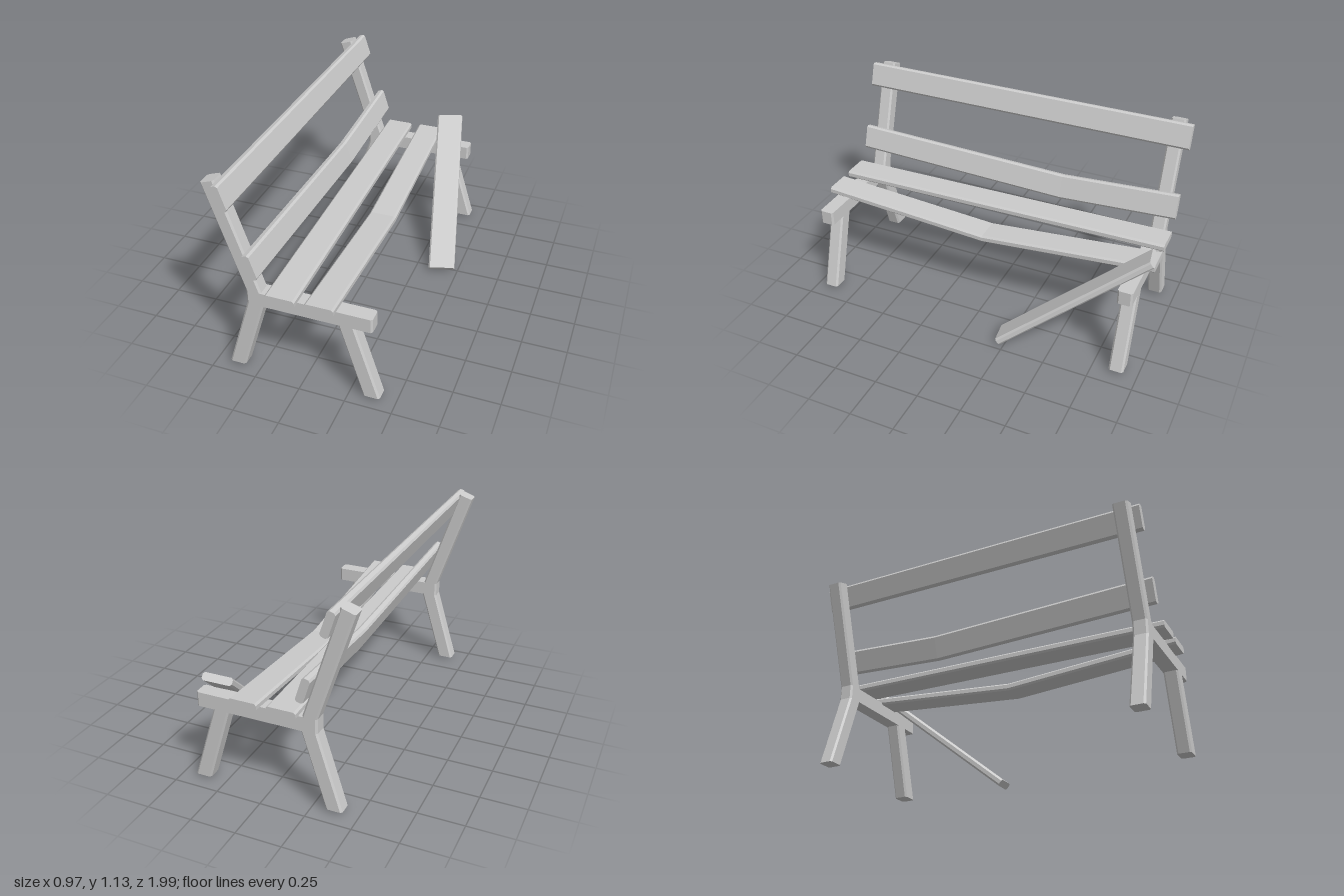
import * as THREE from 'three';

const V = (x, y, z) => new THREE.Vector3(x, y, z);
const material = new THREE.MeshStandardMaterial({ color: 0xcccccc, flatShading: true });

// Timber with a chamfered rectangular section, swept through rings.
// Each ring is [centre, half-width vector, half-thickness vector].
function timber(name, rings, chamfer = 0.01) {
  const [c0, u0, v0] = rings[0];
  const along = rings[1][0].clone().sub(c0);
  const flip = u0.clone().cross(v0).dot(along) < 0 ? -1 : 1;
  const positions = [], index = [];
  for (const [c, u, v] of rings) {
    const a = 1 - chamfer / u.length(), b = 1 - chamfer / v.length();
    const section = [[1, -b], [1, b], [a, 1], [-a, 1], [-1, b], [-1, -b], [-a, -1], [a, -1]];
    for (const [s, t] of section) {
      const p = c.clone().addScaledVector(u, s).addScaledVector(v, t * flip);
      positions.push(p.x, p.y, p.z);
    }
  }
  const last = (rings.length - 1) * 8;
  for (let r = 0; r < last; r += 8) {
    for (let i = 0; i < 8; i++) {
      const j = (i + 1) % 8;
      index.push(r + i, r + j, r + 8 + j, r + i, r + 8 + j, r + 8 + i);
    }
  }
  for (let i = 1; i < 7; i++) {
    index.push(0, i + 1, i, last, last + i, last + i + 1); // end caps
  }
  let geometry = new THREE.BufferGeometry();
  geometry.setAttribute('position', new THREE.Float32BufferAttribute(positions, 3));
  geometry.setIndex(index);
  geometry = geometry.toNonIndexed();
  geometry.computeVertexNormals();
  const mesh = new THREE.Mesh(geometry, material);
  mesh.name = name;
  return mesh;
}

// One end frame: seat beam, two splayed legs and a leaning back post
function endFrame(name, z) {
  const frame = new THREE.Group();
  frame.name = name;
  const level = (x0, x1, y) => [V((x0 + x1) / 2, y, 0), V((x1 - x0) / 2, 0, 0), V(0, 0, 0.041)];
  frame.add(
    timber('seatBeam', [level(-0.29, 0.38, 0.445), level(-0.29, 0.38, 0.525)]),
    timber('frontLeg', [level(0.33, 0.42, 0.02), level(0.2, 0.287, 0.445)]),
    timber('backLeg', [level(-0.42, -0.33, 0.02), level(-0.29, -0.2, 0.445)]),
    timber('backPost', [
      level(-0.29, -0.208, 0.525),
      [V(-0.447, 1.124, 0), V(0.038, 0.013, 0), V(0, 0, 0.041)],
    ]),
  );
  frame.position.z = z;
  return frame;
}

export function createModel() {
  const bench = new THREE.Group();
  bench.name = 'brokenBench';
  bench.add(endFrame('leftEndFrame', 0.905), endFrame('rightEndFrame', -0.885));

  // Back slats lie against the leaning posts; the lower one sags
  const lean = V(-0.31, 0.95, 0).multiplyScalar(0.07);
  const out = V(0.95, 0.31, 0).multiplyScalar(0.022);
  const backRing = (x, y, z) => [V(x, y, z), lean, out];
  bench.add(
    timber('upperBackSlat', [backRing(-0.37, 1.065, 0.985), backRing(-0.37, 1.065, -0.975)]),
    timber('lowerBackSlat', [
      backRing(-0.24, 0.7, 0.985),
      backRing(-0.24, 0.66, -0.3),
      backRing(-0.24, 0.7, -0.975),
    ]),
  );

  // Seat slats sit slightly askew; the front one is cracked at the middle
  const seatRing = (x, y, z, half) => [V(x, y, z), V(half, 0, 0), V(0, 0.021, 0)];
  bench.add(
    timber('rearSeatSlat', [seatRing(-0.085, 0.546, 0.995, 0.08), seatRing(-0.118, 0.546, -0.97, 0.08)]),
    timber('frontSeatSlat', [
      seatRing(0.12, 0.546, 0.99, 0.077),
      seatRing(0.104, 0.467, 0.01, 0.077),
      seatRing(0.088, 0.546, -0.975, 0.077),
    ]),
  );

  // Loose plank leaning from the ground onto the right end of the seat
  const top = V(0.218, 0.66, -0.975), foot = V(0.41, 0.026, -0.21);
  const across = V(0.98, 0.1, -0.16).normalize();
  const normal = across.clone().cross(foot.clone().sub(top)).normalize().multiplyScalar(0.021);
  across.multiplyScalar(0.078);
  bench.add(timber('loosePlank', [[top, across, normal], [foot, across, normal]]));

  return bench;
}
